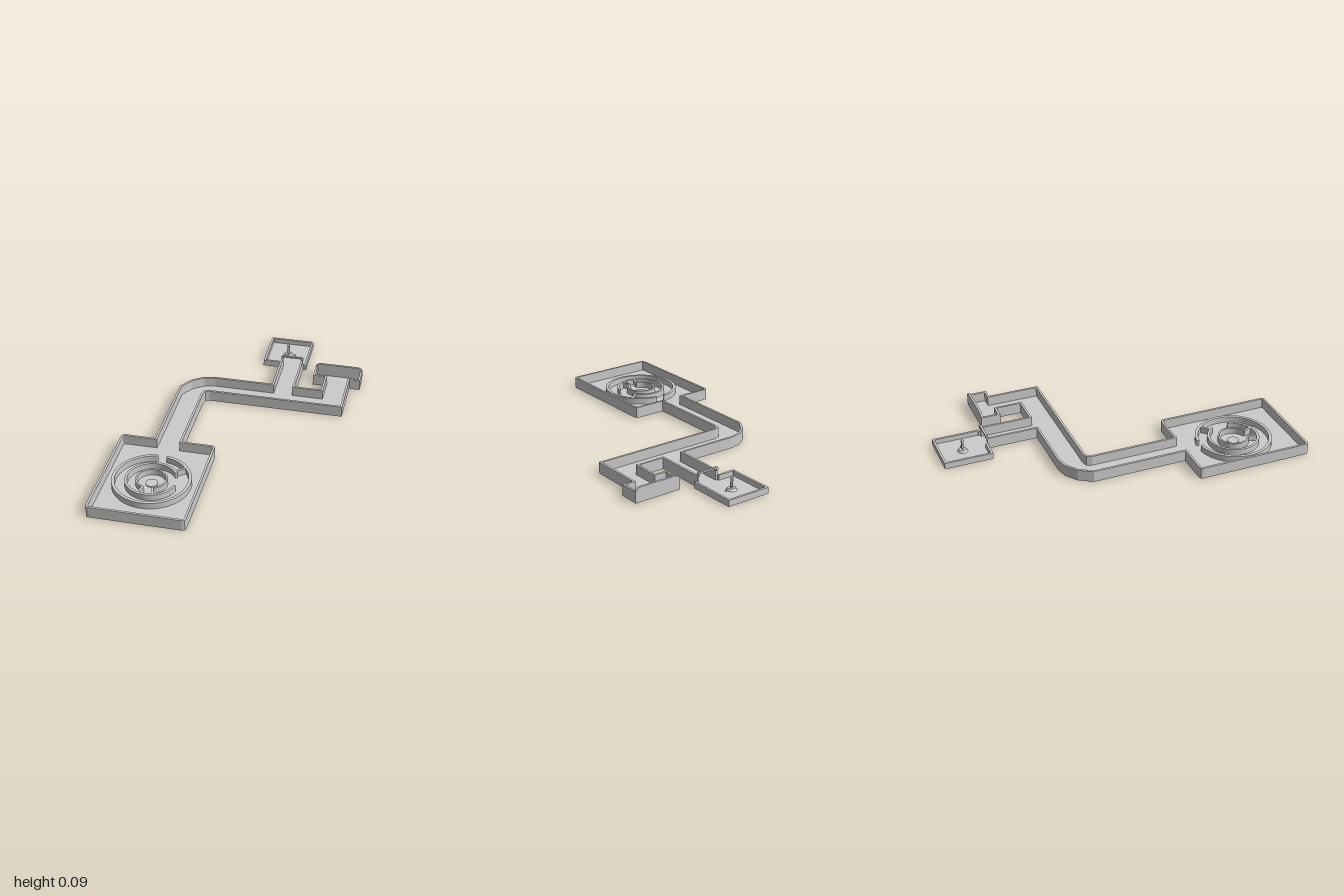
import * as THREE from 'three';

const material = new THREE.MeshStandardMaterial({ color: 0xcccccc, flatShading: true });
const FLOOR = 0.008, WALL = 0.013;

function add(group, name, geometry) {
  const mesh = new THREE.Mesh(geometry, material);
  mesh.name = name;
  group.add(mesh);
  return mesh;
}

// Extrude a plan shape (drawn as x, -z) upwards from y0 to y1
function raise(shape, y0, y1) {
  const g = new THREE.ExtrudeGeometry(shape, { depth: y1 - y0, bevelEnabled: false, curveSegments: 40 });
  return g.rotateX(-Math.PI / 2).translate(0, y0, 0);
}

const planShape = pts => new THREE.Shape(pts.map(([x, z]) => new THREE.Vector2(x, -z)));

// Mitred offset of an open path towards its inner side
function inset(pts, d) {
  const normal = (a, b) => {
    const l = Math.hypot(b[0] - a[0], b[1] - a[1]);
    return [(b[1] - a[1]) / l, (a[0] - b[0]) / l];
  };
  return pts.map((p, i) => {
    const n0 = i > 0 ? normal(pts[i - 1], p) : normal(p, pts[1]);
    const n1 = i < pts.length - 1 ? normal(p, pts[i + 1]) : n0;
    const k = d / (1 + n0[0] * n1[0] + n0[1] * n1[1]);
    return [p[0] + (n0[0] + n1[0]) * k, p[1] + (n0[1] + n1[1]) * k];
  });
}

// Floor slab with a wall along its open outline
function tray(group, name, pts, height) {
  add(group, name + 'Floor', raise(planShape(pts), 0, FLOOR));
  const ribbon = [...pts, ...inset(pts, WALL).reverse()];
  add(group, name + 'Wall', raise(planShape(ribbon), FLOOR, height));
}

// Curved wall with rounded ends; angles in degrees, 0 = +x, 90 = back
function arcWall(r0, r1, from, to, height) {
  const a = from * Math.PI / 180, b = to * Math.PI / 180;
  const rm = (r0 + r1) / 2, t = (r1 - r0) / 2;
  const s = new THREE.Shape();
  s.absarc(0, 0, r1, a, b, false);
  s.absarc(rm * Math.cos(b), rm * Math.sin(b), t, b, b + Math.PI, false);
  s.absarc(0, 0, r0, b, a, true);
  s.absarc(rm * Math.cos(a), rm * Math.sin(a), t, a + Math.PI, a + 2 * Math.PI, false);
  return raise(s, FLOOR, height);
}

export function createModel() {
  const model = new THREE.Group();
  model.name = 'trackLayout';

  // Large room, bent corridor and end bay, open at the back passage
  tray(model, 'track', [
    [0.11, -0.71], [0.11, -0.405], [-0.25, -0.405], [-0.32, -0.39], [-0.39, -0.34], [-0.44, -0.26],
    [-0.44, 0.305], [-0.62, 0.305], [-0.635, 0.31], [-0.64, 0.325], [-0.64, 0.98], [-0.635, 0.995],
    [-0.62, 1], [-0.1, 1], [-0.085, 0.995], [-0.08, 0.98], [-0.08, 0.325], [-0.085, 0.31],
    [-0.1, 0.305], [-0.28, 0.305], [-0.28, -0.21], [-0.272, -0.232], [-0.25, -0.24], [0.57, -0.24],
    [0.57, -0.555], [0.635, -0.555], [0.635, -0.675], [0.34, -0.675], [0.34, -0.555],
    [0.415, -0.555], [0.415, -0.405], [0.25, -0.405], [0.25, -0.71],
  ], 0.068);

  // Low square room behind the passage
  tray(model, 'lowRoom', [
    [0.25, -0.71], [0.27, -0.71], [0.27, -1], [-0.005, -1], [-0.005, -0.71], [0.11, -0.71],
  ], 0.038);

  // Taller backboard with clipped corners on the end bay
  const board = new THREE.Shape([
    [0.34, 0.066], [0.635, 0.066], [0.635, 0.07], [0.625, 0.082], [0.608, 0.088],
    [0.367, 0.088], [0.352, 0.082], [0.34, 0.07],
  ].map(p => new THREE.Vector2(...p)));
  add(model, 'backboard', new THREE.ExtrudeGeometry(board, { depth: WALL, bevelEnabled: false }))
    .position.z = -0.675;

  // Small arch across the passage
  const arch = new THREE.Shape([
    [0.11, 0.066], [0.123, 0.066], [0.123, 0.078], [0.237, 0.078], [0.237, 0.066], [0.25, 0.066],
    [0.25, 0.082], [0.244, 0.088], [0.116, 0.088], [0.11, 0.082],
  ].map(p => new THREE.Vector2(...p)));
  add(model, 'arch', new THREE.ExtrudeGeometry(arch, { depth: WALL, bevelEnabled: false }))
    .position.z = -0.718;

  // Post with a round foot, and a small stud beside it
  const post = new THREE.Group();
  post.name = 'post';
  post.position.set(0.13, 0, -0.855);
  model.add(post);
  add(post, 'postFoot', new THREE.CylinderGeometry(0.022, 0.03, 0.012, 32)).position.y = 0.014;
  add(post, 'postShaft', new THREE.CylinderGeometry(0.008, 0.008, 0.072, 20)).position.y = 0.044;
  add(post, 'stud', new THREE.CylinderGeometry(0.004, 0.004, 0.008, 12)).position.set(0.042, 0.012, 0);

  // Circular maze: broken rings around a low centre disc
  const maze = new THREE.Group();
  maze.name = 'circularMaze';
  maze.position.set(-0.365, 0, 0.65);
  model.add(maze);
  const rings = [
    [0.207, 0.225, 98, 440, 0.045],
    [0.137, 0.152, 35, 345, 0.045],
    [0.08, 0.091, -70, 250, 0.045],
  ];
  rings.forEach(([r0, r1, from, to, h], i) => add(maze, 'mazeRing' + (i + 1), arcWall(r0, r1, from, to, h)));

  // Short baffles beside the gaps: radius, angle, length
  for (const [r, deg, len] of [[0.18, 40, 0.06], [0.114, -72, 0.05], [0.114, 252, 0.05]]) {
    const a = deg * Math.PI / 180;
    const baffle = add(maze, 'mazeBaffle', new THREE.BoxGeometry(len, 0.037, 0.014));
    baffle.position.set(r * Math.cos(a), FLOOR + 0.0185, -r * Math.sin(a));
    baffle.rotation.y = a;
  }
  add(maze, 'centreDisc', new THREE.CylinderGeometry(0.035, 0.035, 0.006, 40)).position.y = FLOOR + 0.003;

  return model;
}
